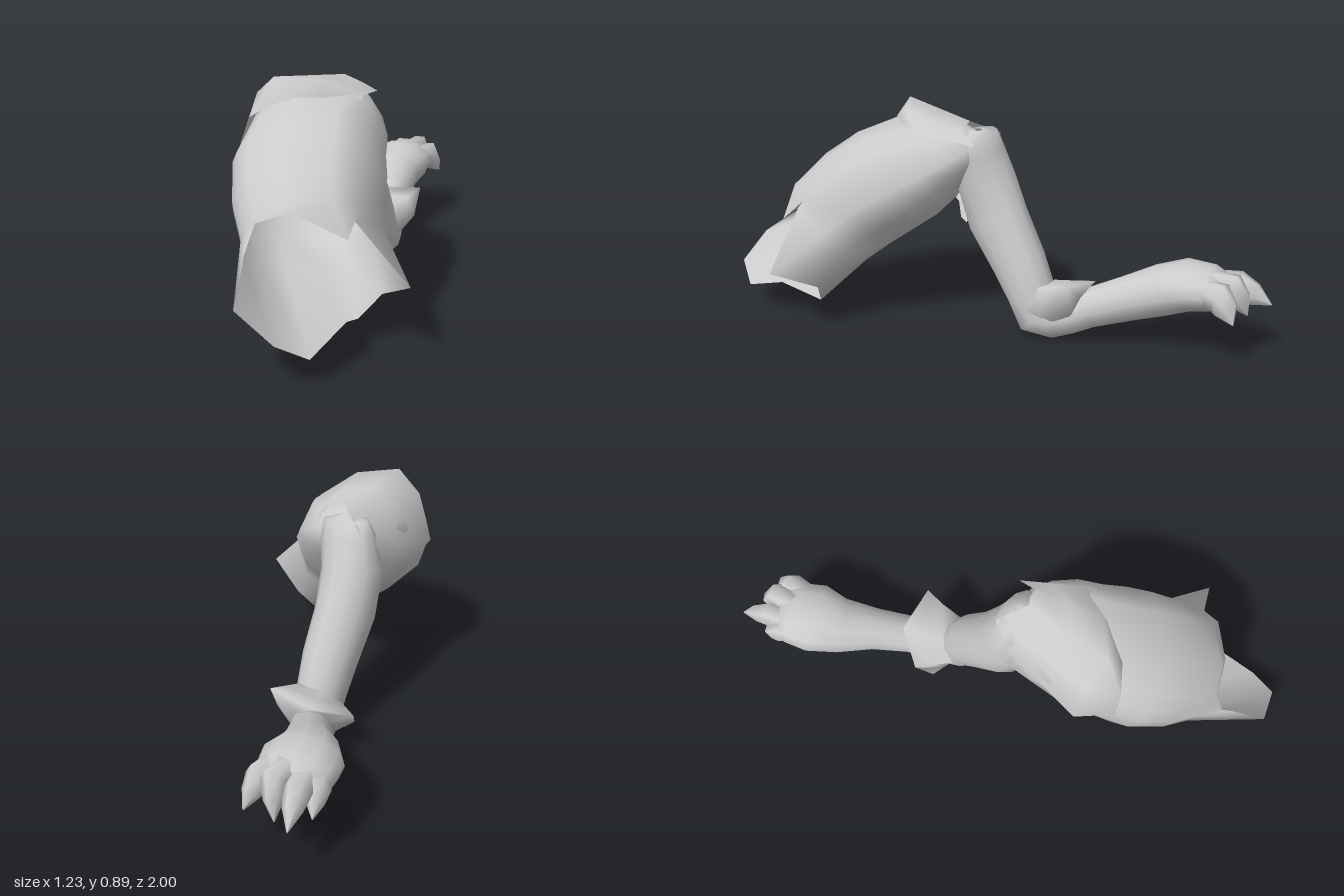
import * as THREE from 'three';

const V = (p) => new THREE.Vector3(...p);
const material = new THREE.MeshStandardMaterial({ color: 0xcccccc, side: THREE.DoubleSide });

// Smooth skin over rows of points; each row has the same count
function loft(name, rows, closed = true) {
  const n = rows[0].length, index = [];
  for (let i = 0; i < rows.length - 1; i++) {
    for (let j = 0; j < (closed ? n : n - 1); j++) {
      const k = (j + 1) % n;
      const a = i * n + j, b = i * n + k, c = a + n, d = b + n;
      index.push(a, c, b, b, c, d);
    }
  }
  const geometry = new THREE.BufferGeometry().setFromPoints(rows.flat());
  geometry.setIndex(index);
  geometry.computeVertexNormals();
  const mesh = new THREE.Mesh(geometry, material);
  mesh.name = name;
  return mesh;
}

// Elliptical cross-sections along a path. Ring: [centre, side radius, upper radius, side axis]
function sections(rings, angles) {
  return rings.map(([c, rs, rn, axis], i) => {
    const t = V(rings[Math.min(i + 1, rings.length - 1)][0])
      .sub(V(rings[Math.max(i - 1, 0)][0])).normalize();
    const s = V(axis);
    s.addScaledVector(t, -s.dot(t)).normalize();
    const n = s.clone().cross(t);
    return angles.map((deg) => {
      const a = THREE.MathUtils.degToRad(deg);
      return V(c).addScaledVector(s, rs * Math.cos(a)).addScaledVector(n, rn * Math.sin(a));
    });
  });
}

// Collar flaring from a root row to a wide rim, then turning in to the limb
function collar(name, root, rim, fold, closed) {
  const [a, b, c] = [root, rim, fold].map((row) => row.map(V));
  const mid = a.map((p, i) => p.clone().lerp(b[i], 0.5));
  return loft(name, [c, b, mid, a], closed);
}

export function createModel() {
  const group = new THREE.Group();
  const round = Array.from({ length: 12 }, (_, i) => i * 30);

  // Thigh, open at a torn hem
  const hem = [
    [0.61, 0.29, 0.52], [0.41, 0.50, 0.58], [0.44, 0.45, 0.64], [0.29, 0.54, 0.75],
    [0.17, 0.49, 0.80], [0.16, 0.36, 0.86], [0.19, 0.37, 0.88], [0.27, 0.27, 1.0],
    [0.42, 0.18, 0.97], [0.47, 0.11, 0.86], [0.45, 0.17, 0.66], [0.37, 0.11, 0.51],
    [0.43, 0.20, 0.45],
  ].map(V);
  const hemAngles = [2, 45, 70, 110, 138, 155, 170, 185, 215, 245, 275, 300, 330];
  const T = [0.76, 0, -0.64];
  group.add(loft('thigh', [hem, ...sections([
    [[0.23, 0.405, 0.59], 0.245, 0.22, T],
    [[0.15, 0.49, 0.525], 0.265, 0.232, T],
    [[0.08, 0.565, 0.44], 0.28, 0.232, T],
    [[0.01, 0.64, 0.32], 0.26, 0.215, T],
    [[-0.02, 0.70, 0.20], 0.22, 0.17, T],
    [[-0.045, 0.74, 0.115], 0.16, 0.11, T],
    [[-0.06, 0.765, 0.055], 0.09, 0.07, T],
    [[-0.07, 0.78, 0.025], 0.005, 0.005, T],
  ], hemAngles)]));

  // Shin, hock and foot as one bent limb
  const X = [1, 0, 0], F = [0.87, 0, -0.5];
  group.add(loft('lowerLeg', sections([
    [[-0.09, 0.825, 0.06], 0.02, 0.02, X],
    [[-0.09, 0.81, 0.06], 0.095, 0.065, X],
    [[-0.10, 0.74, 0.06], 0.115, 0.085, X],
    [[-0.13, 0.62, 0.05], 0.118, 0.125, X],
    [[-0.14, 0.46, -0.01], 0.112, 0.135, X],
    [[-0.145, 0.30, -0.12], 0.105, 0.118, X],
    [[-0.15, 0.18, -0.185], 0.095, 0.105, X],
    [[-0.155, 0.10, -0.22], 0.09, 0.10, [0.97, 0, -0.2]],
    [[-0.18, 0.095, -0.27], 0.088, 0.085, [0.92, 0, -0.4]],
    [[-0.21, 0.115, -0.33], 0.08, 0.08, F],
    [[-0.25, 0.15, -0.40], 0.078, 0.08, F],
    [[-0.33, 0.20, -0.52], 0.088, 0.09, F],
    [[-0.41, 0.245, -0.63], 0.118, 0.10, F],
    [[-0.45, 0.28, -0.72], 0.148, 0.095, F],
    [[-0.48, 0.28, -0.80], 0.135, 0.085, F],
    [[-0.49, 0.275, -0.85], 0.105, 0.07, F],
    [[-0.50, 0.275, -0.86], 0.01, 0.01, F],
  ], round)));

  // Bulging collar wrapping the knee and turning in to the thigh
  group.add(collar('kneeCollar', [
    [0.01, 0.79, -0.02], [0.0, 0.835, 0.06], [-0.07, 0.86, 0.08], [-0.17, 0.81, 0.01],
    [-0.21, 0.73, 0.04], [-0.24, 0.64, 0.05], [-0.23, 0.56, 0.06], [-0.11, 0.50, 0.07],
  ], [
    [0.12, 0.82, 0.19], [0.04, 0.89, 0.33], [-0.09, 0.90, 0.44], [-0.20, 0.825, 0.42],
    [-0.26, 0.64, 0.42], [-0.22, 0.55, 0.33], [-0.16, 0.48, 0.17], [-0.08, 0.43, 0.11],
  ], [
    [0.13, 0.81, 0.21], [0.06, 0.825, 0.33], [-0.04, 0.82, 0.47], [-0.13, 0.76, 0.53],
    [-0.17, 0.66, 0.54], [-0.18, 0.58, 0.43], [-0.13, 0.49, 0.20], [-0.07, 0.45, 0.13],
  ], false));

  // Flared collar around the hock
  group.add(collar('hockCollar', [
    [-0.25, 0.16, -0.18], [-0.21, 0.24, -0.25], [-0.10, 0.24, -0.26],
    [-0.065, 0.14, -0.22], [-0.12, 0.04, -0.24], [-0.24, 0.09, -0.20],
  ], [
    [-0.365, 0.20, -0.28], [-0.27, 0.26, -0.41], [-0.085, 0.29, -0.42],
    [-0.07, 0.18, -0.36], [-0.15, 0.05, -0.29], [-0.33, 0.13, -0.22],
  ], [
    [-0.29, 0.17, -0.35], [-0.25, 0.22, -0.38], [-0.19, 0.21, -0.40],
    [-0.15, 0.15, -0.39], [-0.16, 0.07, -0.32], [-0.27, 0.10, -0.32],
  ], true));

  // Toes tapering into claws: base, knuckle, tip, radius
  const toes = [
    [[-0.53, 0.27, -0.73], [-0.58, 0.27, -0.81], [-0.61, 0.21, -0.88], 0.045],
    [[-0.52, 0.29, -0.79], [-0.55, 0.29, -0.88], [-0.60, 0.23, -1.0], 0.05],
    [[-0.46, 0.31, -0.80], [-0.47, 0.31, -0.90], [-0.51, 0.20, -0.95], 0.05],
    [[-0.40, 0.29, -0.79], [-0.40, 0.29, -0.89], [-0.39, 0.20, -0.96], 0.05],
  ];
  for (const [base, knuckle, tip, r] of toes) {
    const claw = V(knuckle).lerp(V(tip), 0.45).toArray();
    group.add(loft('toe', sections([
      [base, r, r, F], [knuckle, r, r * 1.25, F],
      [claw, r * 0.7, r, F], [tip, 0.002, 0.002, F],
    ], [0, 60, 120, 180, 240, 300])));
  }
  return group;
}
